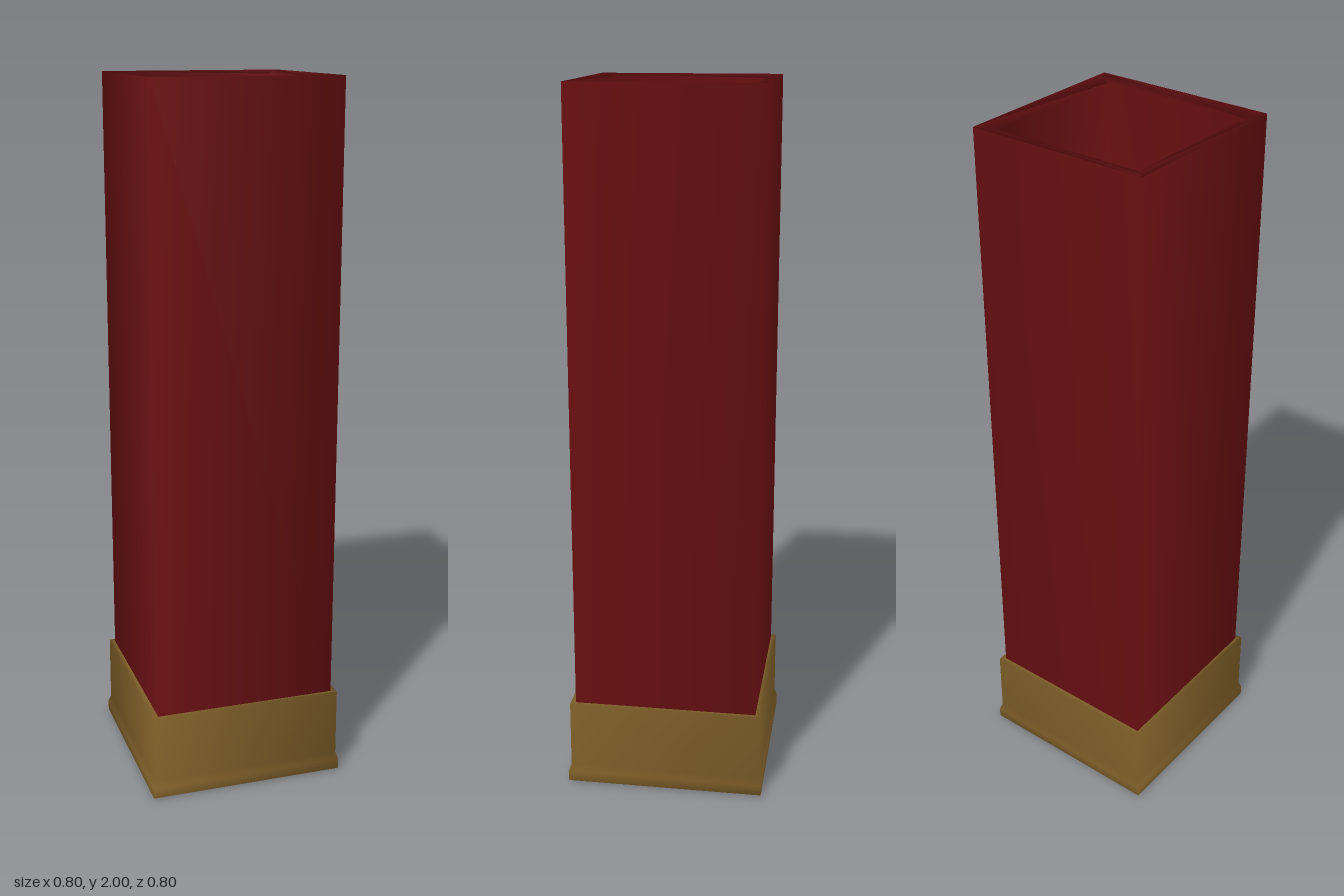
import * as THREE from 'three';

// Four-sided lathe with smooth, round normals; corners lie on the x and z axes.
function squareLathe(name, profile, material) {
  const points = profile.map(([r, y]) => new THREE.Vector2(r, y));
  const mesh = new THREE.Mesh(new THREE.LatheGeometry(points, 4), material);
  mesh.name = name;
  return mesh;
}

export function createModel() {
  const red = new THREE.MeshStandardMaterial({ color: 0x6a1012 });
  red.name = 'dark red plastic';
  const brass = new THREE.MeshStandardMaterial({ color: 0x806029 });
  brass.name = 'dull brass';

  const model = new THREE.Group();
  model.name = 'shellCasing';

  // Hollow red tube: outer wall, rim, inner wall, floor
  model.add(squareLathe('tube', [
    [0.37, 0.22], [0.37, 2], [0.31, 1.99], [0.31, 0.3], [0, 0.3],
  ], red));

  // Brass base: recessed underside, flared lip, wall, top ledge
  model.add(squareLathe('base', [
    [0, 0.07], [0.385, 0.07], [0.39, 0], [0.4, 0.005],
    [0.4, 0.035], [0.39, 0.055], [0.39, 0.25], [0.365, 0.25],
  ], brass));

  return model;
}
